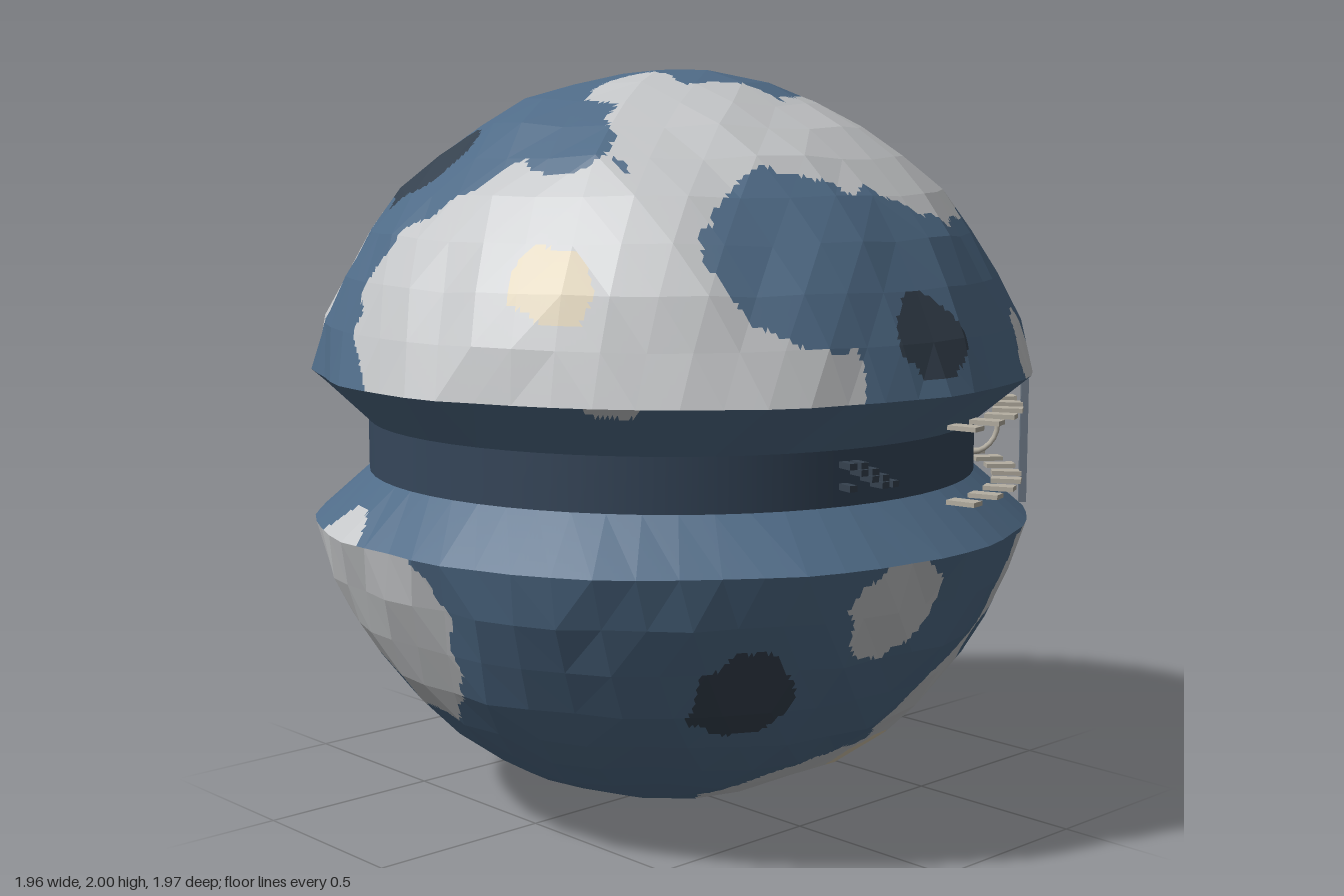
import * as THREE from 'three';

const mat = (name, color, side = THREE.FrontSide) => {
  const m = new THREE.MeshStandardMaterial({ color, side });
  m.name = name;
  return m;
};

// Paint blobs per colour and side of the ball: [across, up, radius]
const GREY = {
  top: [[-.8, .35, .4], [-.25, .5, .33], [.25, .55, .28], [.5, .05, .26], [-.25, .12, .13], [.5, -.18, .18], [-.54, -.72, .24], [.42, -.82, .14]],
  front: [[-.7, 1.33, .3], [-.38, 1.27, .15], [.52, 1.27, .09], [-.12, .68, .14], [.55, .62, .21], [.35, .33, .27], [.05, .1, .27]],
  right: [[-.55, 1.33, .1], [.5, .35, .22], [.15, .22, .13], [-.75, .42, .35]],
  back: [[-.45, 1.3, .28], [-.05, 1.28, .27], [.3, 1.27, .17], [.4, .58, .33], [.33, .24, .25]],
  left: [[.1, 1.4, .3], [-.2, .62, .36]],
};
const BLUE = {
  top: [[-.55, .22, .11]],
  front: [[-.27, 1.56, .25], [.05, 1.5, .18], [.45, .5, .1]],
};
const SLATE = {
  top: [[-.57, -.32, .15], [-.08, -.43, .18], [.22, -.43, .11]],
  front: [[0, 1.34, .1], [-.42, .47, .13]],
  right: [[.08, 1.55, .1], [.25, 1.3, .14], [-.03, .71, .16], [-.4, .72, .19]],
  back: [[-.3, .41, .12], [-.18, .16, .1]],
};
const CREAM = {
  top: [[.62, -.1, .08], [-.78, .43, .1], [-.47, -.8, .09]],
  front: [[-.78, 1.48, .1], [.2, .17, .12]],
  back: [[.18, .74, .08]],
};

// Turns side coordinates into a direction on the ball
const depth = (a, b) => Math.sqrt(Math.max(0, 1 - a * a - b * b));
const PROJECT = {
  front: (u, v) => [u, v - 1, depth(u, v - 1)],
  back: (u, v) => [u, v - 1, -depth(u, v - 1)],
  right: (u, v) => [depth(u, v - 1), v - 1, u],
  left: (u, v) => [-depth(u, v - 1), v - 1, u],
  top: (u, v) => [u, depth(u, v), v],
};
// Later layers cover earlier ones; colour is the index of the shell material
const spots = (colour, sides) => Object.entries(sides).flatMap(([side, list]) =>
  list.map(([u, v, r]) => ({ colour, r, dir: new THREE.Vector3(...PROJECT[side](u, v)).normalize() })));
const SPOTS = [...spots(1, GREY), ...spots(0, BLUE), ...spots(2, SLATE), ...spots(3, CREAM)];

const wobble = (p, f) => Math.sin(f * p.x + 1.7 * Math.sin(f * p.y + 1)) * Math.sin(f * p.z + 1.3 * Math.sin(f * p.x + 2));

function paintAt(p, shrink) {
  const d = p.clone().normalize();
  const edge = .03 * wobble(d, 11) + .02 * wobble(d, 29) - shrink;
  let colour = 0;
  for (const s of SPOTS) if (d.distanceTo(s.dir) < s.r + edge) colour = s.colour;
  return colour;
}

// Adds one flat facet, cut into small triangles that are sorted by paint
function addFacet(buckets, a, b, c, ref, shrink, n = 9) {
  const normal = b.clone().sub(a).cross(c.clone().sub(a));
  if (normal.dot(ref) < 0) [b, c] = [c, b];
  const at = (i, j) => a.clone().addScaledVector(b.clone().sub(a), i / n).addScaledVector(c.clone().sub(a), j / n);
  const put = (...tri) => {
    const mid = tri[0].clone().add(tri[1]).add(tri[2]).divideScalar(3);
    const bucket = buckets[paintAt(mid, shrink)];
    tri.forEach((p) => bucket.push(p.x, p.y, p.z));
  };
  for (let i = 0; i < n; i++) for (let j = 0; j < n - i; j++) {
    put(at(i, j), at(i + 1, j), at(i, j + 1));
    if (j < n - i - 1) put(at(i + 1, j), at(i + 1, j + 1), at(i, j + 1));
  }
}

// One rocky half: a faceted dome with a slope running in to the waist
function rockHalf(sign) {
  const RINGS = 10, buckets = [[], [], [], []];
  const node = (i, k) => {
    const count = Math.max(1, 6 * i), a = (k % count) / count * Math.PI * 2, t = i / RINGS * Math.acos(.2);
    const p = new THREE.Vector3(Math.sin(t) * Math.sin(a), sign * Math.cos(t), Math.sin(t) * Math.cos(a));
    const bump = .994 + .01 * wobble(p, 7) + .008 * wobble(p, 17);
    p.x *= bump;
    p.z *= bump;
    if (i > 0 && i < RINGS) p.y *= bump;
    return p;
  };
  const inner = (k) => {
    const a = k / (6 * RINGS) * Math.PI * 2;
    return new THREE.Vector3(.83 * Math.sin(a), sign * .07, .83 * Math.cos(a));
  };
  for (let i = 1; i <= RINGS; i++) for (let s = 0; s < 6; s++) for (let k = 0; k < i; k++) {
    const o = s * i + k, n = s * (i - 1) + k;
    const A = node(i, o), B = node(i, o + 1), C = node(i - 1, n);
    addFacet(buckets, A, B, C, A, 0);
    if (k < i - 1) addFacet(buckets, C, node(i - 1, n + 1), B, B, 0);
  }
  for (let k = 0; k < 6 * RINGS; k++) {
    const A = node(RINGS, k), B = node(RINGS, k + 1), C = inner(k), D = inner(k + 1);
    const ref = new THREE.Vector3(A.x, -sign, A.z);
    addFacet(buckets, A, B, C, ref, .13);
    addFacet(buckets, B, D, C, ref, .13);
  }
  const geo = new THREE.BufferGeometry();
  geo.setAttribute('position', new THREE.Float32BufferAttribute(buckets.flat(), 3));
  let start = 0;
  buckets.forEach((b, m) => {
    geo.addGroup(start, b.length / 3, m);
    start += b.length / 3;
  });
  geo.computeVertexNormals();
  return geo;
}

export function createModel() {
  const group = new THREE.Group();
  const blue = mat('blue', 0x4f6b87), grey = mat('paleGrey', 0xc4c6c8), slate = mat('slate', 0x35414e), cream = mat('cream', 0xd9ccb0);
  const steel = mat('steel', 0x6b7785), taupe = mat('taupe', 0xb5afa2), wallMat = mat('wall', 0x35465a, THREE.DoubleSide);
  const add = (name, geo, material) => {
    const m = new THREE.Mesh(geo, material);
    m.name = name;
    group.add(m);
    return m;
  };
  // Places a part around the waist; angle 0 is the front, 90 is +x
  const around = (name, geo, material, deg, r, y) => {
    const a = deg * Math.PI / 180, m = add(name, geo, material);
    m.position.set(r * Math.sin(a), y, r * Math.cos(a));
    m.rotation.y = a;
    return m;
  };

  // Rock halves and the recessed wall between them
  for (const [name, sign] of [['upperShell', 1], ['lowerShell', -1]]) {
    add(name, rockHalf(sign), [blue, grey, slate, cream]).position.y = 1;
  }
  add('waistWall', new THREE.CylinderGeometry(.83, .83, .15, 60, 1, true), wallMat).position.y = 1;

  // Light panels and small dark windows on the +x wall
  const panel = new THREE.BoxGeometry(.043, .11, .009);
  const panelMats = [grey, cream, grey, cream, grey, cream, blue];
  for (let i = 0; i < 26; i++) around('wallPanel', panel, panelMats[(i * i + i * 3) % 7], 66 + i * 3, .835, 1.01);
  const pane = new THREE.BoxGeometry(.035, .025, .008);
  for (const deg of [82, 87, 92]) for (const y of [.975, 1.035]) around('window', pane, slate, deg, .843, y);

  // Radial slats in two rows
  const slat = new THREE.BoxGeometry(.045, .012, .08);
  for (let deg = 10; deg <= 170; deg += 8) for (const y of [.91, 1.1]) around('slat', slat, taupe, deg, .92, y);

  // Posts and upright back panels
  const post = new THREE.BoxGeometry(.03, .34, .02);
  for (const deg of [42, 115]) around('post', post, steel, deg, .965, 1);
  const backPanel = new THREE.BoxGeometry(.05, .34, .03);
  around('narrowBackPanel', backPanel, wallMat, 182, .92, 1.02);
  for (let i = 0; i < 5; i++) around('backPanel', backPanel, wallMat, 188 + i * 3, .925, 1.02);

  // Upright hoops, a hanging half hoop and a loose beam
  const hoop = new THREE.TorusGeometry(.08, .008, 6, 24);
  for (const deg of [76, 98]) around('hoop', hoop, taupe, deg, .895, 1.01).rotation.y += Math.PI / 2;
  const halfHoop = around('halfHoop', new THREE.TorusGeometry(.08, .008, 6, 12, Math.PI), taupe, 61, .89, 1);
  halfHoop.rotation.y += Math.PI / 2;
  halfHoop.rotation.z = Math.PI;
  around('beam', new THREE.BoxGeometry(.25, .03, .03), steel, 74, .9, 1.125).rotation.z = -.2;

  // Small pegs on the front wall
  const peg = new THREE.BoxGeometry(.022, .016, .05);
  for (let i = 0; i < 9; i++) around('peg', peg, slate, -13 + (i % 5) * 2.2, .85, .98 + (i * 7 % 4) * .018);
  return group;
}
